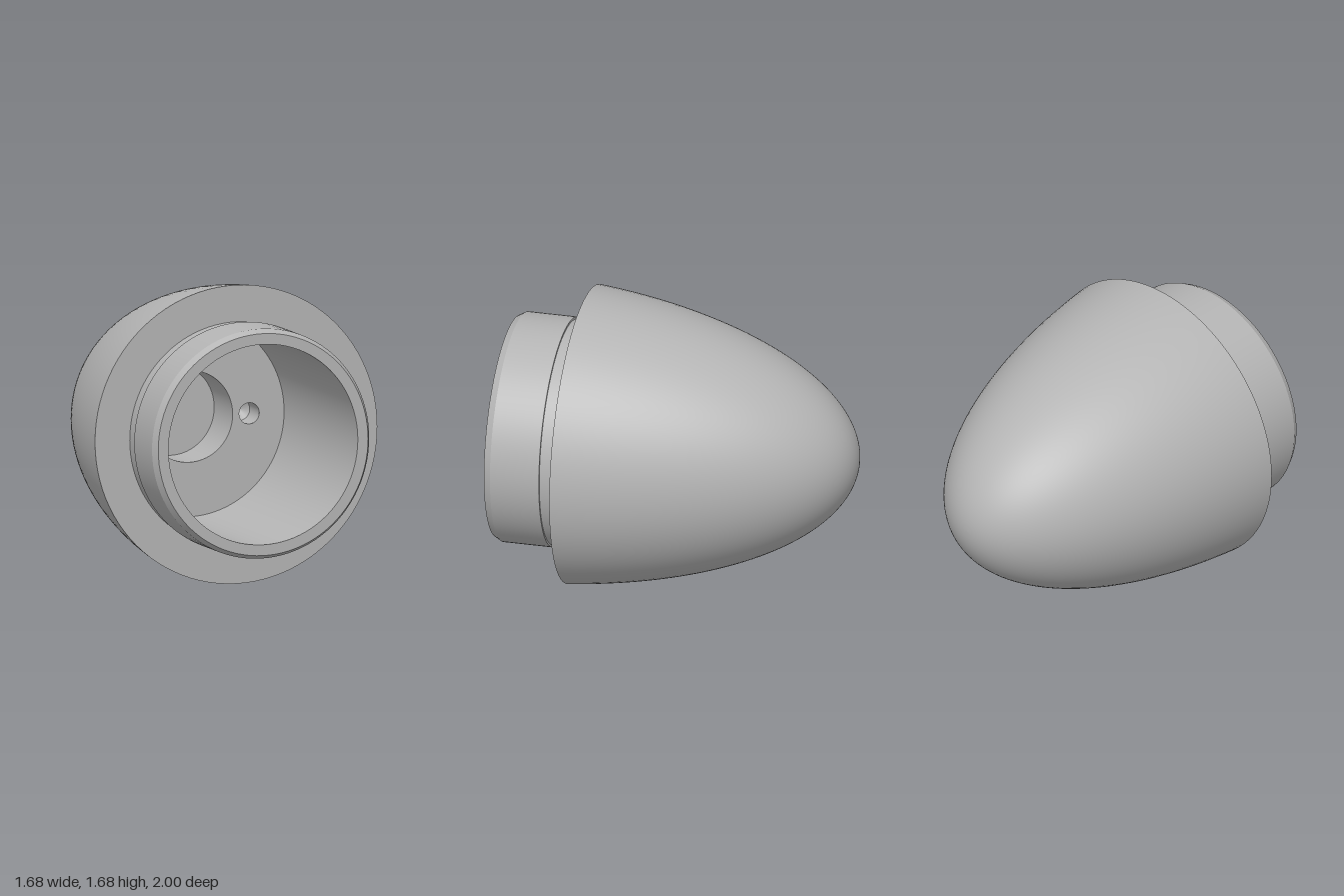
import * as THREE from 'three';

const SEGMENTS = 96;
const AXIS_Y = 0.842;

export function createModel() {
  const model = new THREE.Group();
  const grey = new THREE.MeshStandardMaterial({ color: 0xb4b4b4 });
  grey.name = 'plain grey';

  function add(name, geometry, x = 0) {
    const mesh = new THREE.Mesh(geometry, grey);
    mesh.name = name;
    mesh.position.set(x, AXIS_Y, 0);
    model.add(mesh);
  }

  // Surface turned about the z axis from [radius, z] pairs
  function turned(name, profile, x = 0, segments = SEGMENTS) {
    const points = profile.map(([r, z]) => new THREE.Vector2(r, z));
    add(name, new THREE.LatheGeometry(points, segments).rotateX(Math.PI / 2), x);
  }

  // Rounded nose: part of a half ellipse, cut off at the shoulder
  const shoulderZ = 0.575;
  const endAngle = Math.acos((1 - shoulderZ) / 2);
  const nose = [];
  for (let i = 0; i <= 48; i++) {
    const a = (endAngle * i) / 48;
    nose.push([0.862 * Math.sin(a), 1 - 2 * Math.cos(a)]);
  }
  turned('noseShell', nose);

  // Hard-edged bands: each pair of neighbouring points is one surface
  const floorZ = -0.16;
  const pocketZ = -0.45;
  const bands = [
    ['shoulder', [nose[48][0], shoulderZ], [0.635, shoulderZ]],
    ['neck', [0.635, shoulderZ], [0.635, 0.68]],
    ['collarStep', [0.635, 0.68], [0.648, 0.68], true],
    ['collar', [0.648, 0.68], [0.648, 0.96]],
    ['collarChamfer', [0.648, 0.96], [0.626, 1]],
    ['rim', [0.626, 1], [0.565, 1]],
    ['bore', [0.565, 1], [0.565, floorZ]],
    ['centrePocketWall', [0.258, floorZ], [0.258, pocketZ]],
    ['centrePocketFloor', [0.258, pocketZ], [0, pocketZ]],
  ];
  for (const [name, from, to] of bands) turned(name, [from, to]);

  // Bore floor with the central pocket and the offset drilled hole
  const holeX = 0.357;
  const holeR = 0.06;
  const floor = new THREE.Shape().absarc(0, 0, 0.565, 0, Math.PI * 2, false);
  floor.holes.push(
    new THREE.Path().absarc(0, 0, 0.258, 0, Math.PI * 2, true),
    new THREE.Path().absarc(holeX, 0, holeR, 0, Math.PI * 2, true),
  );
  add('boreFloor', new THREE.ShapeGeometry(floor, 48).translate(0, 0, floorZ));

  // Drilled hole with a conical end
  const drillZ = floorZ - 0.15;
  turned('drilledHoleWall', [[holeR, floorZ], [holeR, drillZ]], holeX, 48);
  turned('drilledHoleTip', [[holeR, drillZ], [0, drillZ - 0.035]], holeX, 48);

  return model;
}
